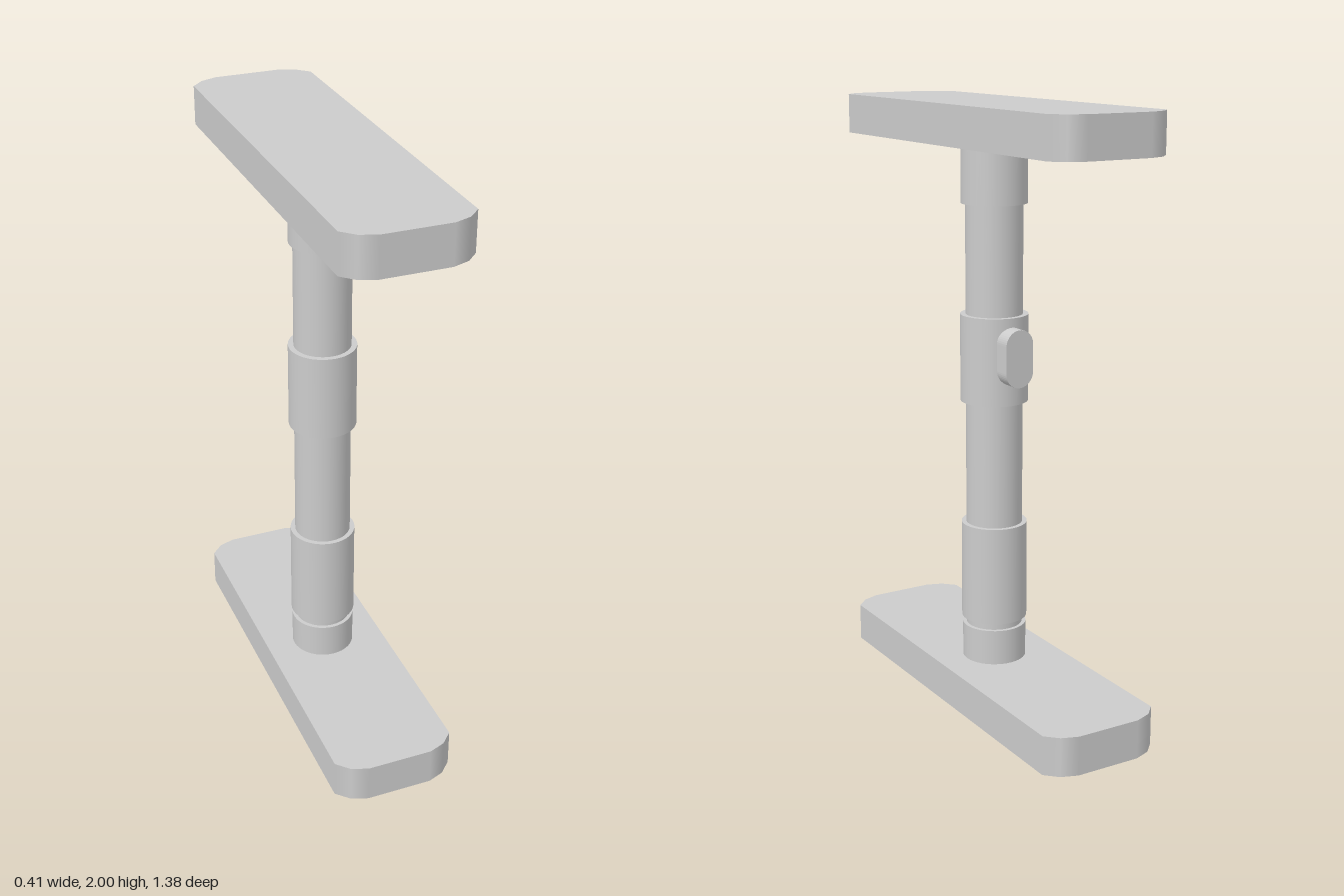
import * as THREE from 'three';

const material = new THREE.MeshStandardMaterial({ color: 0xcccccc });

function addMesh(group, name, geometry) {
  const mesh = new THREE.Mesh(geometry, material);
  mesh.name = name;
  group.add(mesh);
  return mesh;
}

// Upright cylinder spanning two heights
function addColumn(group, name, radius, bottom, top) {
  const geometry = new THREE.CylinderGeometry(radius, radius, top - bottom, 40);
  addMesh(group, name, geometry).position.y = (bottom + top) / 2;
}

// Long plate with two-facet corners, shaded as rounded
function plateGeometry(thickness) {
  const quarter = [[0.205, 0.63], [0.165, 0.67], [0.11, 0.69]];
  const mirrored = (sx, sy) => quarter.map(([x, y]) => new THREE.Vector2(x * sx, y * sy));
  const outline = [
    ...mirrored(1, 1), ...mirrored(-1, 1).reverse(),
    ...mirrored(-1, -1), ...mirrored(1, -1).reverse(),
  ];
  const geometry = new THREE.ExtrudeGeometry(new THREE.Shape(outline), { depth: thickness, bevelEnabled: false });
  geometry.rotateX(-Math.PI / 2);

  // Side normals turn smoothly around each corner; long faces stay flat
  const { position, normal } = geometry.attributes;
  for (let i = 0; i < position.count; i++) {
    if (Math.abs(normal.getY(i)) > 0.5) continue;
    const x = position.getX(i), z = position.getZ(i);
    const n = new THREE.Vector3(
      Math.abs(z) > 0.68 ? 0 : Math.sign(x), 0,
      Math.abs(x) > 0.2 ? 0 : Math.sign(z)).normalize();
    normal.setXYZ(i, n.x, n.y, n.z);
  }
  return geometry;
}

// Upright pill-shaped button
function buttonGeometry(width, height, depth) {
  const r = width / 2, straight = height / 2 - r;
  const shape = new THREE.Shape();
  shape.absarc(0, straight, r, 0, Math.PI, false);
  shape.absarc(0, -straight, r, Math.PI, Math.PI * 2, false);
  shape.closePath();
  return new THREE.ExtrudeGeometry(shape, { depth, bevelEnabled: false, curveSegments: 12 });
}

export function createModel() {
  const group = new THREE.Group();
  group.name = 'standWithTwoPlates';

  // Base and top plates
  const thickness = 0.13;
  addMesh(group, 'basePlate', plateGeometry(thickness));
  addMesh(group, 'topPlate', plateGeometry(thickness)).position.y = 2 - thickness;

  // Central pole and its collars
  addColumn(group, 'pole', 0.094, 0.13, 1.87);
  addColumn(group, 'baseSocket', 0.107, 0.13, 0.25);
  addColumn(group, 'lowerSleeve', 0.11, 0.275, 0.61);
  addColumn(group, 'middleCollar', 0.112, 1.03, 1.32);
  addColumn(group, 'topSocket', 0.108, 1.68, 1.87);

  // Button on the back of the middle collar
  addMesh(group, 'button', buttonGeometry(0.1, 0.19, 0.07)).position.set(0, 1.195, -0.16);

  return group;
}
